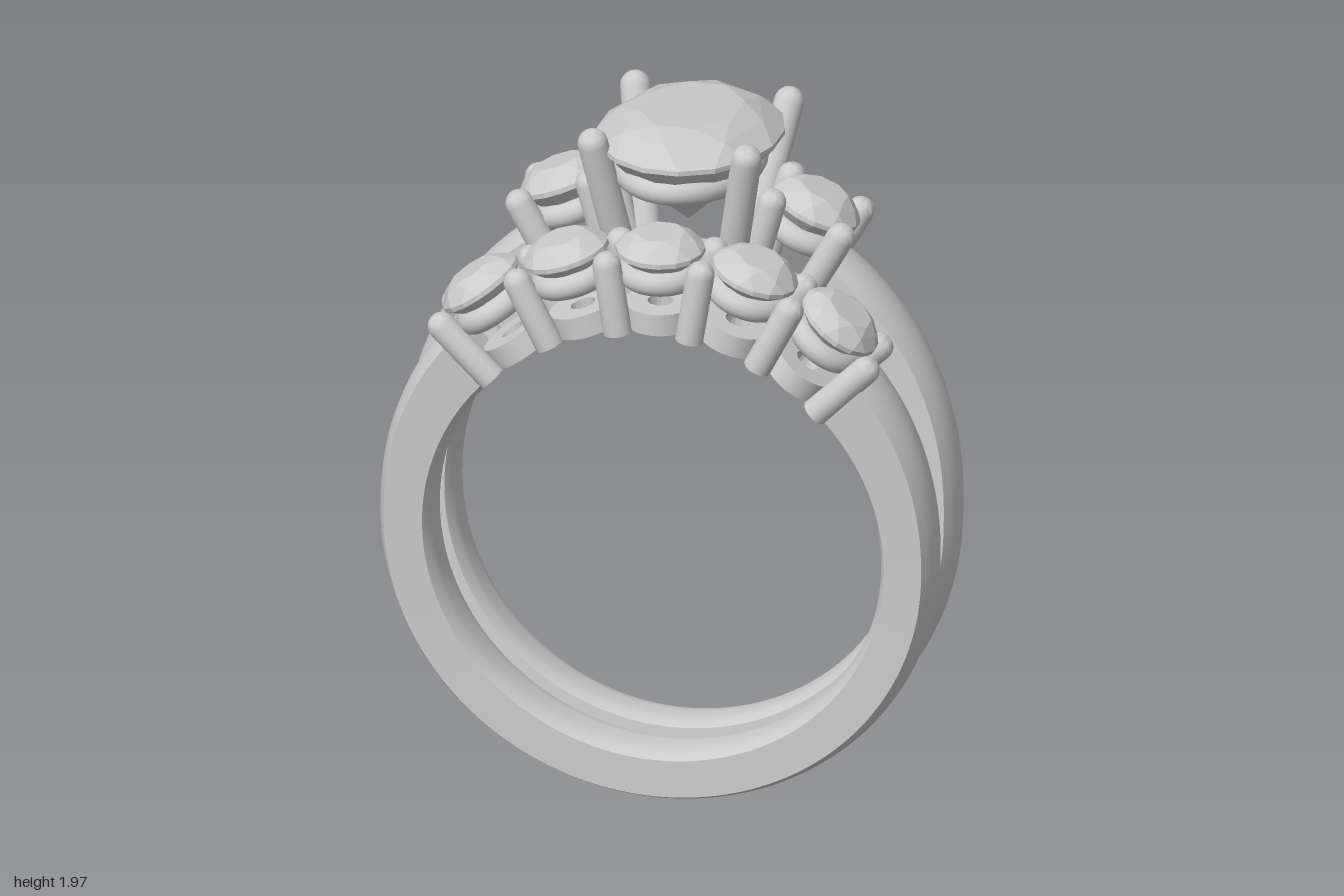
import * as THREE from 'three';
import { toCreasedNormals } from 'three/addons/utils/BufferGeometryUtils.js';
import { ConvexGeometry } from 'three/addons/geometries/ConvexGeometry.js';

const metal = new THREE.MeshStandardMaterial({ color: 0xcccccc });
const stoneMat = new THREE.MeshStandardMaterial({ color: 0xcccccc, flatShading: true });
const V = (x, y, z) => new THREE.Vector3(x, y, z);
const rad = THREE.MathUtils.degToRad;

function add(parent, name, geo, mat = metal) {
  const m = new THREE.Mesh(geo, mat);
  m.name = name;
  parent.add(m);
  return m;
}

// Open ring band: domed outside, comfort-fit inside, thicker and wider toward the top
function bandGeometry(endDeg, grow, w0, w1) {
  const a0 = rad(180 - endDeg), a1 = rad(360 + endDeg), N = 120;
  const section = [];
  for (let k = 0; k <= 6; k++) { // inner curve
    const u = -1 + k / 3;
    section.push([0.645 + 0.018 * u * u * u * u, u * 0.94, 0]);
  }
  for (let k = 0; k <= 8; k++) { // outer dome
    const u = 1 - k / 4;
    section.push([0.8 - 0.028 * u * u, u, 1]);
  }
  const M = section.length, pos = [], idx = [];
  for (let i = 0; i <= N; i++) {
    const t = a0 + (a1 - a0) * i / N, s = Math.sin(t);
    const extra = grow * Math.pow(Math.max(0, s), 1.5);
    const half = (w0 + (w1 - w0) * (s + 1) / 2) / 2;
    for (const [r, u, outer] of section) {
      const R = r + outer * extra;
      pos.push(R * Math.cos(t), R * s, u * half);
    }
  }
  for (let i = 0; i < N; i++) for (let j = 0; j < M; j++) {
    const a = i * M + j, b = i * M + (j + 1) % M;
    idx.push(a, b, a + M, b, b + M, a + M);
  }
  // end caps, pairing inner and outer points
  for (let j = 1; j < M - 1; j++) {
    idx.push(0, j + 1, j, N * M, N * M + j, N * M + j + 1);
  }
  const g = new THREE.BufferGeometry();
  g.setAttribute('position', new THREE.Float32BufferAttribute(pos, 3));
  g.setIndex(idx);
  return toCreasedNormals(g, rad(30));
}

// Faceted stone, girdle at y = 0
function gemGeometry(rx, rz, crown, depth, n) {
  const pts = [V(0, -depth, 0)];
  const ring = (count, scale, y, shift) => {
    for (let i = 0; i < count; i++) {
      const a = (i + shift) / count * Math.PI * 2;
      pts.push(V(Math.cos(a) * rx * scale, y, Math.sin(a) * rz * scale));
    }
  };
  ring(n, 0.56, crown, 0.5);
  ring(n, 0.8, crown * 0.66, 0);
  ring(n * 2, 1, 0.006, 0.5);
  ring(n * 2, 1, -0.008, 0.5);
  ring(n, 0.6, -depth * 0.46, 0);
  return new ConvexGeometry(pts);
}

// Round-tipped claw from base point to tip
function prong(parent, from, to, r) {
  const len = from.distanceTo(to), prof = [new THREE.Vector2(0, 0), new THREE.Vector2(r, 0)];
  for (let k = 0; k <= 6; k++) {
    const a = k / 6 * Math.PI / 2;
    prof.push(new THREE.Vector2(k === 6 ? 0 : r * Math.cos(a), len - r + r * Math.sin(a)));
  }
  const m = add(parent, 'prong', toCreasedNormals(new THREE.LatheGeometry(prof, 20), rad(40)));
  m.position.copy(from);
  m.quaternion.setFromUnitVectors(V(0, 1, 0), to.clone().sub(from).normalize());
}

// Oval wire seat
function seat(parent, rx, rz, y, tube) {
  const curve = new THREE.CatmullRomCurve3(Array.from({ length: 24 }, (_, i) => {
    const a = i / 24 * Math.PI * 2;
    return V(rx * Math.cos(a), 0, rz * Math.sin(a));
  }), true);
  add(parent, 'seatRing', new THREE.TubeGeometry(curve, 56, tube, 14, true)).position.y = y;
}

// Flat pierced plate beneath a stone
function basePlate(parent, rx, rz, y, h, hole) {
  const s = new THREE.Shape().absellipse(0, 0, rx, rz, 0, Math.PI * 2);
  s.holes.push(new THREE.Path().absellipse(0, 0, rx * hole, rz * hole, 0, Math.PI * 2));
  const g = new THREE.ExtrudeGeometry(s, { depth: h, bevelEnabled: false, curveSegments: 20 });
  g.rotateX(-Math.PI / 2);
  add(parent, 'basePlate', toCreasedNormals(g, rad(40))).position.y = y;
}

// Group whose +y points radially, tilted from the top of the ring
function radial(parent, name, deg) {
  const g = new THREE.Group();
  g.name = name;
  g.rotation.z = -rad(deg);
  parent.add(g);
  return g;
}

export function createModel() {
  const model = new THREE.Group();
  model.name = 'ringSet';

  // Front ring: five stones sharing pairs of prongs
  const front = new THREE.Group();
  front.name = 'fiveStoneRing';
  front.position.set(0, 0.81, 0.29);
  model.add(front);
  add(front, 'band', bandGeometry(46, 0.07, 0.17, 0.21));
  for (let i = -2; i <= 2; i++) {
    const g = radial(front, 'smallSetting', i * 18);
    add(g, 'smallStone', gemGeometry(0.125, 0.125, 0.05, 0.11, 8), stoneMat).position.y = 0.88;
    seat(g, 0.085, 0.085, 0.81, 0.036);
    basePlate(g, 0.1, 0.1, 0.655, 0.065, 0.36);
  }
  for (let i = 0; i < 6; i++) {
    const g = radial(front, 'sharedProngs', (i - 2.5) * 18);
    for (const s of [-1, 1]) prong(g, V(0, 0.655, s * 0.083), V(0, 0.9, s * 0.08), 0.04);
  }

  // Back ring, leaning away from the front ring
  const back = new THREE.Group();
  back.name = 'ovalStoneRing';
  back.position.set(0, 0.81, 0.03);
  back.rotation.x = -rad(5.5);
  model.add(back);
  add(back, 'band', bandGeometry(61, 0.115, 0.165, 0.22));

  // Large oval stone with its seat, base and four claws
  const centre = new THREE.Group();
  centre.name = 'centreSetting';
  centre.position.z = 0.012;
  back.add(centre);
  add(centre, 'ovalStone', gemGeometry(0.258, 0.362, 0.075, 0.26, 8), stoneMat).position.y = 1.085;
  seat(centre, 0.175, 0.28, 1.0, 0.037);
  basePlate(centre, 0.15, 0.12, 0.655, 0.07, 0.5);
  for (const sx of [-1, 1]) for (const sz of [-1, 1]) {
    prong(centre, V(sx * 0.135, 0.63, sz * 0.095), V(sx * 0.228, 1.15, sz * 0.262), 0.043);
  }

  // Round stones either side
  for (const side of [-1, 1]) {
    const g = radial(back, 'sideSetting', side * 22);
    add(g, 'sideStone', gemGeometry(0.13, 0.13, 0.055, 0.13, 8), stoneMat).position.y = 0.97;
    seat(g, 0.085, 0.085, 0.89, 0.036);
    basePlate(g, 0.1, 0.1, 0.65, 0.065, 0.36);
    for (const sx of [-1, 1]) for (const sz of [-1, 1]) {
      prong(g, V(sx * 0.07, 0.65, sz * 0.085), V(sx * 0.112, 1.005, sz * 0.118), 0.04);
    }
  }
  return model;
}
